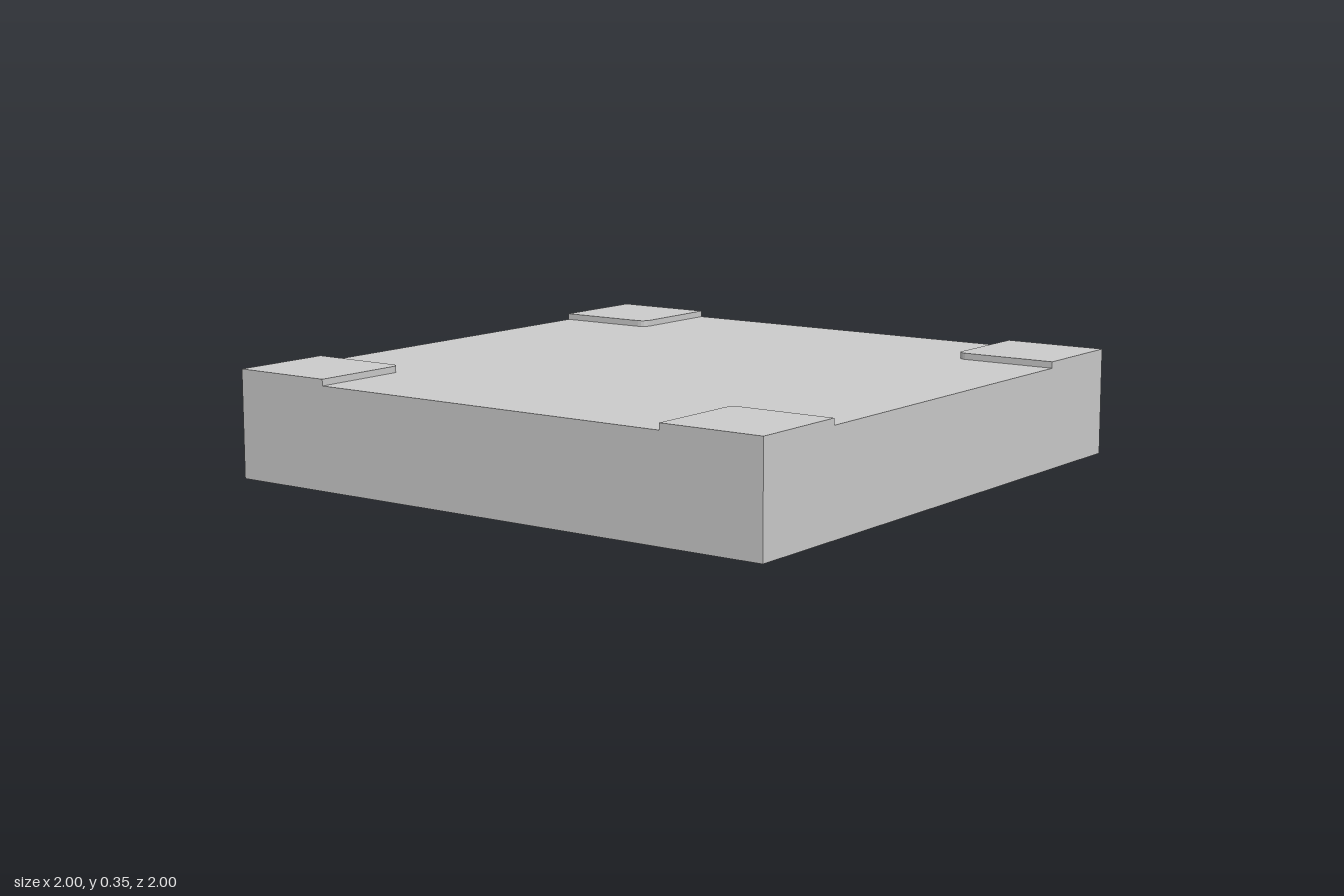
import * as THREE from 'three';

const DECK = 0.333;  // height of the main deck
const PAD = 0.354;   // height of the raised corners
const EDGE = 0.648;  // inner edge of the raised corners
const R = 0.03;      // rounding of their inner corner

// Inner outline of one raised corner, seen from above
function cornerPath() {
  const path = [new THREE.Vector2(1, EDGE)];
  for (let i = 0; i <= 4; i++) {
    const a = -Math.PI / 2 - (i / 4) * Math.PI / 2;
    path.push(new THREE.Vector2(EDGE + R + R * Math.cos(a), EDGE + R + R * Math.sin(a)));
  }
  path.push(new THREE.Vector2(EDGE, 1));
  return path;
}

// Flat horizontal sheet at a given height
function sheet(points, y) {
  return new THREE.ShapeGeometry(new THREE.Shape(points)).rotateX(-Math.PI / 2).translate(0, y, 0);
}

// Low vertical riser that follows a path from the deck up to the pad
function riser(path) {
  const pos = [];
  for (let i = 0; i < path.length - 1; i++) {
    const [p, q] = [path[i], path[i + 1]];
    pos.push(p.x, DECK, -p.y, p.x, PAD, -p.y, q.x, DECK, -q.y);
    pos.push(q.x, DECK, -q.y, p.x, PAD, -p.y, q.x, PAD, -q.y);
  }
  const geo = new THREE.BufferGeometry();
  geo.setAttribute('position', new THREE.Float32BufferAttribute(pos, 3));
  geo.computeVertexNormals();
  return geo;
}

export function createModel() {
  const model = new THREE.Group();
  model.name = 'openTray';
  const material = new THREE.MeshStandardMaterial({
    color: 0xcccccc, flatShading: true, side: THREE.DoubleSide,
  });
  const add = (name, geometry, turn = 0) => {
    const mesh = new THREE.Mesh(geometry, material);
    mesh.name = name;
    mesh.rotation.y = turn;
    model.add(mesh);
  };

  const path = cornerPath();
  const padGeo = sheet([...path, new THREE.Vector2(1, 1)], PAD);
  const riserGeo = riser(path);

  // Side wall with a top edge that steps up at both ends
  const wallGeo = new THREE.ShapeGeometry(new THREE.Shape([
    [-1, 0], [1, 0], [1, PAD], [EDGE, PAD], [EDGE, DECK], [-EDGE, DECK], [-EDGE, PAD], [-1, PAD],
  ].map(([x, y]) => new THREE.Vector2(x, y)))).translate(0, 0, 1);

  // Four walls and four raised corners; the underside stays open
  const deckOutline = [];
  const origin = new THREE.Vector2();
  for (let i = 0; i < 4; i++) {
    const turn = i * Math.PI / 2;
    add('sideWall', wallGeo, turn);
    add('cornerPad', padGeo, turn);
    add('cornerRiser', riserGeo, turn);
    deckOutline.push(...path.map((p) => p.clone().rotateAround(origin, turn)));
  }

  // Cross-shaped deck between the raised corners
  add('deck', sheet(deckOutline, DECK));
  return model;
}
